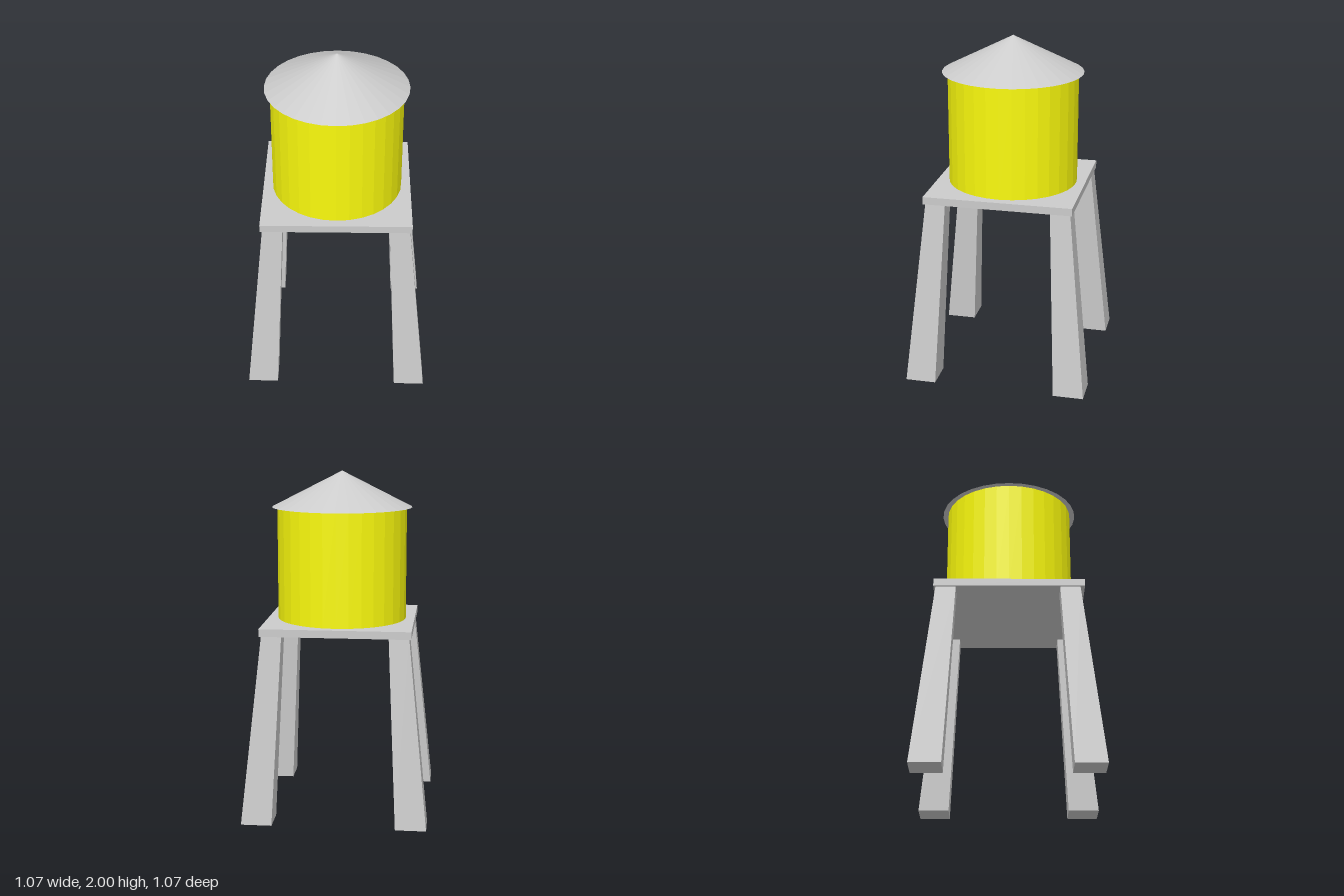
import * as THREE from 'three';

export function createModel() {
  const model = new THREE.Group();
  const grey = new THREE.MeshStandardMaterial({ color: 0xcccccc, flatShading: true });
  const yellow = new THREE.MeshStandardMaterial({ color: 0xfafa0d, flatShading: true });

  const add = (name, geometry, material, x, y, z) => {
    const mesh = new THREE.Mesh(geometry, material);
    mesh.name = name;
    mesh.position.set(x, y, z);
    model.add(mesh);
    return mesh;
  };

  // Conical roof, overhanging the tank
  add('roof', new THREE.ConeGeometry(0.411, 0.21, 32), grey, 0, 1.895, 0);

  // Faceted water tank
  add('tank', new THREE.CylinderGeometry(0.38, 0.38, 0.66, 32), yellow, 0, 1.46, 0);

  // Square platform
  add('platform', new THREE.BoxGeometry(0.866, 0.044, 0.866), grey, 0, 1.112, 0);

  // Tapered legs splaying outwards towards the ground
  const legHeight = 1.09;
  const foot = { centre: 0.445, half: 0.089 };
  const head = { centre: 0.363, half: 0.058 };
  const legGeometry = (sx, sz) => {
    const geometry = new THREE.BoxGeometry(2, legHeight, 2);
    const p = geometry.attributes.position;
    for (let i = 0; i < p.count; i++) {
      const end = p.getY(i) < 0 ? foot : head;
      p.setX(i, sx * end.centre + p.getX(i) * end.half);
      p.setZ(i, sz * end.centre + p.getZ(i) * end.half);
    }
    geometry.computeVertexNormals();
    return geometry;
  };
  for (const sx of [-1, 1]) {
    for (const sz of [-1, 1]) {
      const name = (sz > 0 ? 'front' : 'back') + (sx > 0 ? 'Left' : 'Right') + 'Leg';
      // The front right leg stands slightly further back
      const shift = sx < 0 && sz > 0 ? -0.013 : 0;
      add(name, legGeometry(sx, sz), grey, 0, legHeight / 2, shift);
    }
  }

  return model;
}
